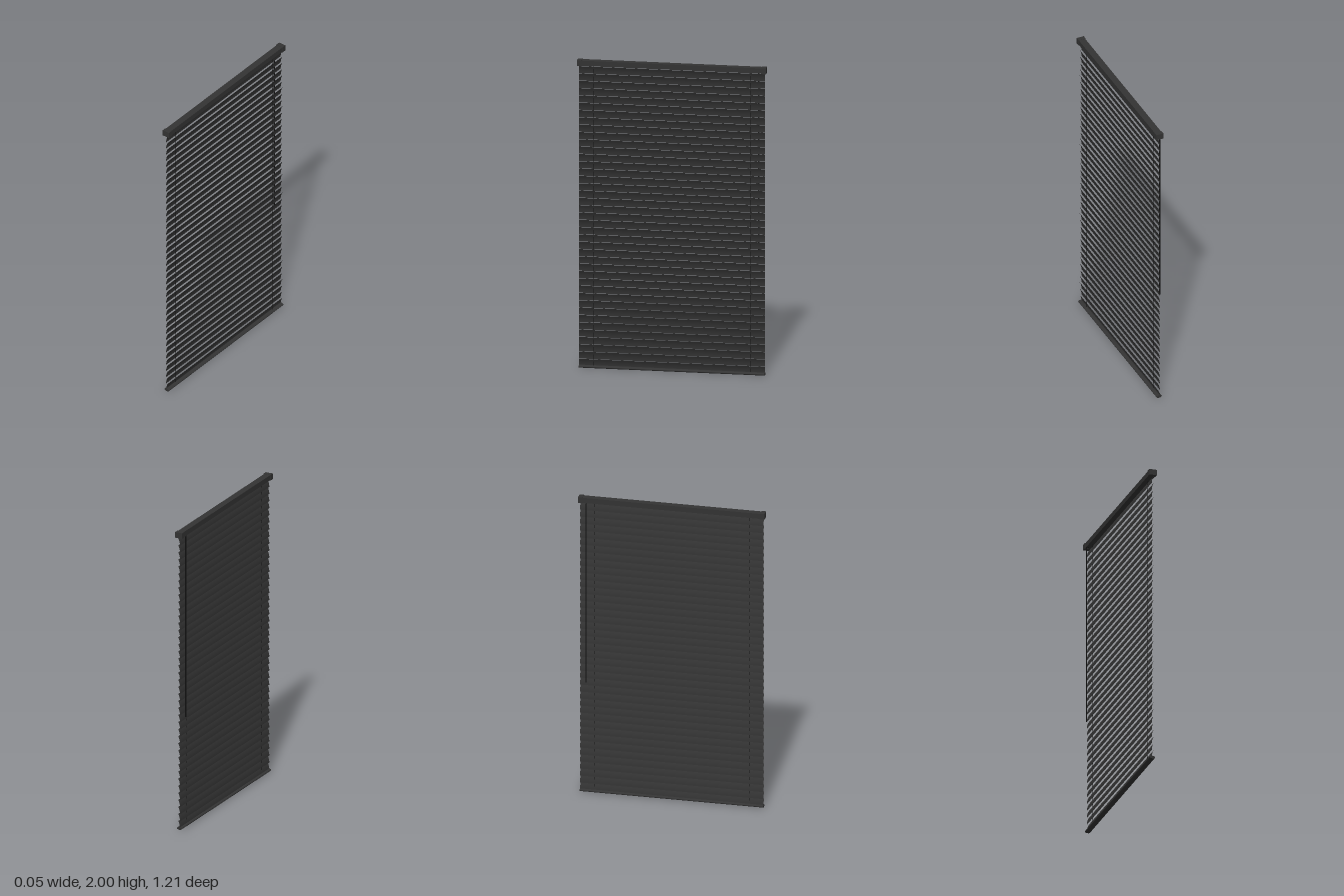
import * as THREE from 'three';

const LENGTH = 1.186;      // slat and rail length along z
const SLAT_WIDTH = 0.05;
const SLAT_COUNT = 41;
const PITCH = 0.0475;
const TILT = THREE.MathUtils.degToRad(75);

const dark = new THREE.MeshStandardMaterial({ color: 0x333333 });
const slatMaterial = new THREE.MeshStandardMaterial({ color: 0x333333, side: THREE.DoubleSide });
const black = new THREE.MeshStandardMaterial({ color: 0x111111 });

function add(parent, name, geometry, material, x = 0, y = 0, z = 0) {
  const mesh = new THREE.Mesh(geometry, material);
  mesh.name = name;
  mesh.position.set(x, y, z);
  parent.add(mesh);
  return mesh;
}

// Thin crowned slat, tilted so its +x edge is raised
function slatGeometry() {
  const geometry = new THREE.PlaneGeometry(SLAT_WIDTH, LENGTH, 6, 1);
  geometry.rotateX(-Math.PI / 2);
  const p = geometry.attributes.position;
  for (let i = 0; i < p.count; i++) {
    const t = (2 * p.getX(i)) / SLAT_WIDTH;
    p.setY(i, 0.003 * (0.5 - t * t));
  }
  geometry.rotateZ(TILT);
  geometry.computeVertexNormals();
  return geometry;
}

export function createModel() {
  const model = new THREE.Group();
  model.name = 'venetianBlind';

  // Head rail with slightly larger end caps
  add(model, 'headRail', new THREE.BoxGeometry(0.044, 0.034, 1.18), dark, 0, 1.981, 0);
  for (const side of [1, -1]) {
    add(model, 'endCap', new THREE.BoxGeometry(0.05, 0.038, 0.03), dark, 0, 1.981, side * 0.588);
  }

  // Stack of closed slats
  const slats = new THREE.Group();
  slats.name = 'slats';
  const slat = slatGeometry();
  for (let i = 0; i < SLAT_COUNT; i++) {
    add(slats, 'slat', slat, slatMaterial, 0, 0.034 + i * PITCH, 0);
  }
  model.add(slats);

  // Oval bottom rail
  const rail = new THREE.CylinderGeometry(1, 1, LENGTH, 24);
  rail.rotateX(Math.PI / 2);
  rail.scale(0.018, 0.009, 1);
  add(model, 'bottomRail', rail, dark, 0, 0.009, 0);

  // Lift cords threaded through the slats
  for (const z of [0.5, -0.5]) {
    add(model, 'liftCord', new THREE.BoxGeometry(0.002, 1.955, 0.003), black, 0, 0.99, z);
  }

  // Tilt wand hanging on the -x side
  add(model, 'tiltWand', new THREE.CylinderGeometry(0.004, 0.004, 1.21, 10), black, -0.023, 1.355, -0.55);
  const hook = add(model, 'wandHook', new THREE.CylinderGeometry(0.002, 0.002, 0.018, 8), black, -0.016, 1.961, -0.55);
  hook.rotation.z = Math.PI / 2;

  return model;
}
